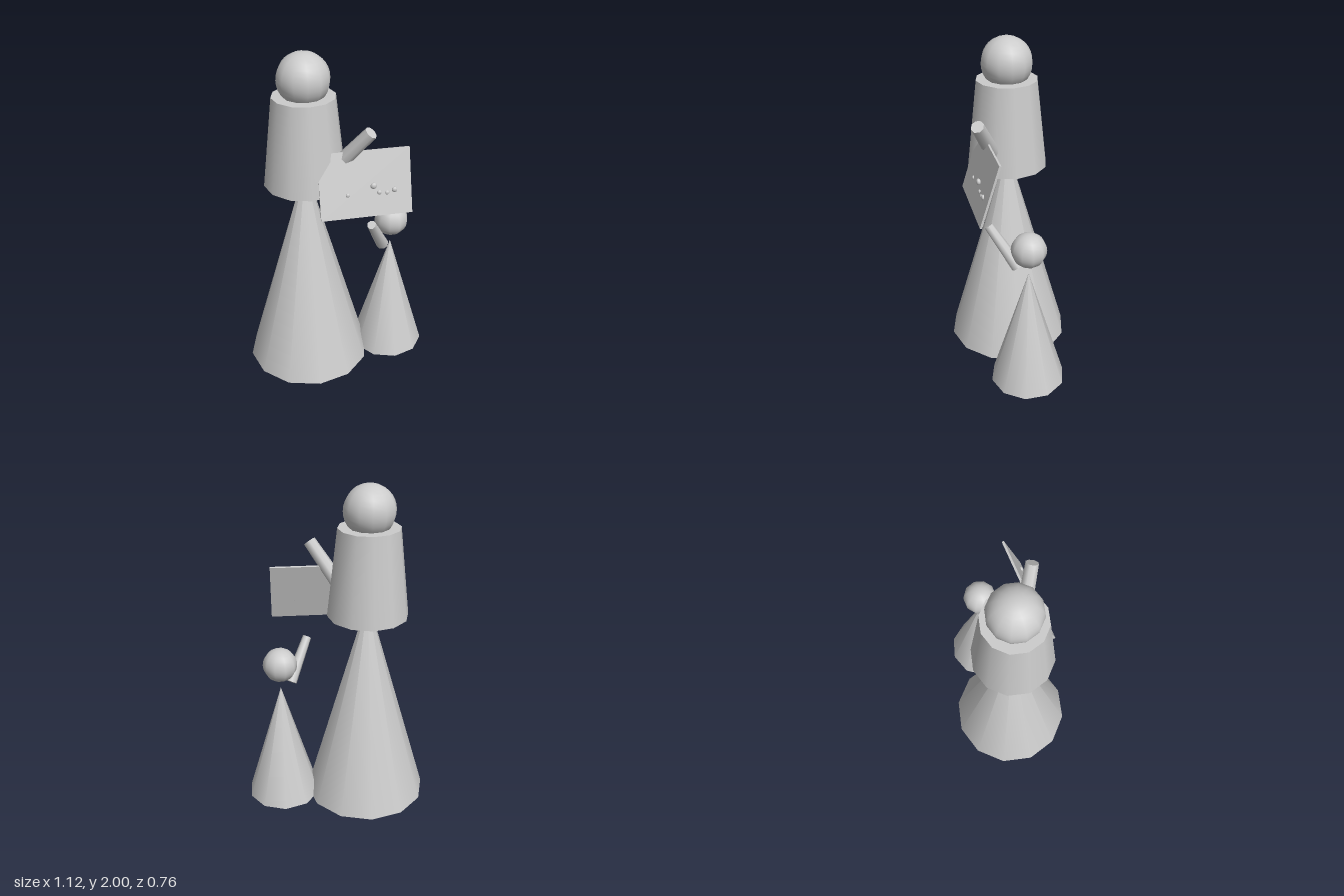
import * as THREE from 'three';

export function createModel() {
  const model = new THREE.Group();
  const material = new THREE.MeshStandardMaterial({ color: 0xcccccc });

  function add(name, geometry, x, y, z, parent = model) {
    const mesh = new THREE.Mesh(geometry, material);
    mesh.name = name;
    mesh.position.set(x, y, z);
    parent.add(mesh);
    return mesh;
  }

  // Tapered limb running from the shoulder to the hand
  function addArm(name, shoulder, hand, shoulderRadius, handRadius, parent) {
    const a = new THREE.Vector3(...shoulder);
    const b = new THREE.Vector3(...hand);
    const axis = b.clone().sub(a);
    const centre = a.clone().add(b).multiplyScalar(0.5);
    const geometry = new THREE.CylinderGeometry(handRadius, shoulderRadius, axis.length(), 8);
    const arm = add(name, geometry, centre.x, centre.y, centre.z, parent);
    arm.quaternion.setFromUnitVectors(new THREE.Vector3(0, 1, 0), axis.normalize());
  }

  // Adult figure: long skirt, tapered torso, round head, raised arm
  const adult = new THREE.Group();
  adult.name = 'adult';
  model.add(adult);
  add('adultSkirt', new THREE.ConeGeometry(0.378, 1.322, 12), -0.185, 0.661, 0, adult);
  add('adultTorso', new THREE.CylinderGeometry(0.182, 0.242, 0.53, 12), -0.185, 1.489, 0, adult);
  add('adultHead', new THREE.SphereGeometry(0.151, 12, 16), -0.185, 1.849, 0, adult);
  addArm('adultArm', [-0.027, 1.37, 0.125], [0.139, 1.605, 0.24], 0.045, 0.038, adult);

  // Child figure: small cone body, floating head, reaching arm
  const child = new THREE.Group();
  child.name = 'child';
  model.add(child);
  add('childBody', new THREE.ConeGeometry(0.227, 0.756, 10), 0.343, 0.378, 0, child);
  add('childHead', new THREE.SphereGeometry(0.104, 10, 16), 0.343, 0.912, 0, child);
  addArm('childArm', [0.28, 0.766, 0.048], [0.167, 1.0, 0.195], 0.038, 0.027, child);

  // Tilted board held in front of the adult
  const board = add('board', new THREE.BoxGeometry(0.529, 0.378, 0.013), 0.116, 1.292, 0.225);
  board.rotation.x = -0.3;

  // Small flattened beads set on the board: x, y, radius
  const beads = [
    [0.011, 1.24, 0.013],
    [0.159, 1.285, 0.019],
    [0.193, 1.24, 0.014],
    [0.238, 1.234, 0.014],
    [0.281, 1.249, 0.016],
  ];
  for (const [x, y, r] of beads) {
    add('bead', new THREE.SphereGeometry(r, 10, 8), x, y, 0.246).scale.z = 0.7;
  }

  return model;
}
